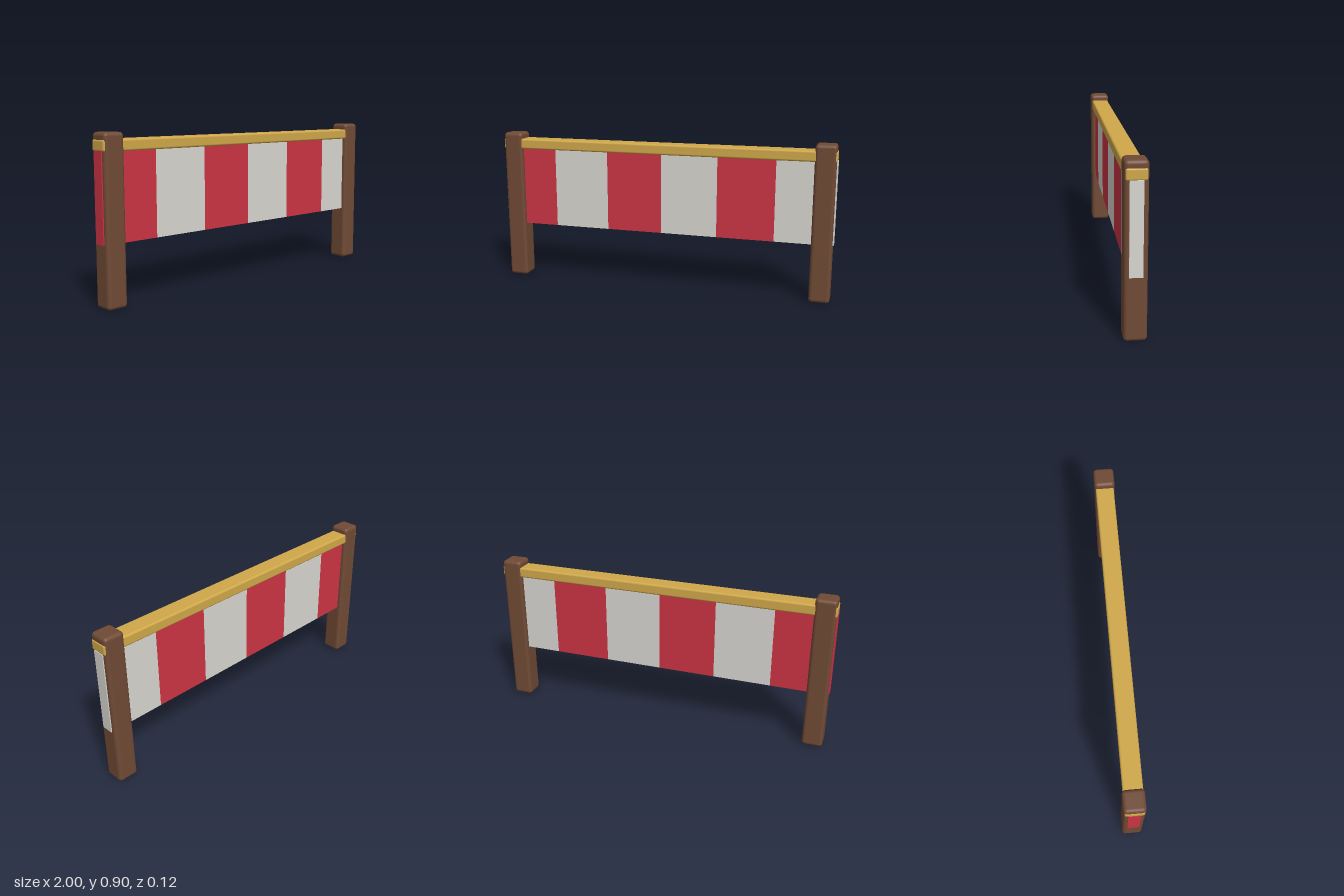
import * as THREE from 'three';
import { RoundedBoxGeometry } from 'three/addons/geometries/RoundedBoxGeometry.js';

function material(name, color) {
  const m = new THREE.MeshStandardMaterial({ color });
  m.name = name;
  return m;
}

export function createModel() {
  const wood = material('brown wood', 0x704a35);
  const gold = material('gold', 0xd0a84a);
  const red = material('red cloth', 0xcc3444);
  const white = material('off-white cloth', 0xd8d6d0);

  const model = new THREE.Group();
  model.name = 'stripedBarrier';

  function add(name, geometry, mat, x, y) {
    const mesh = new THREE.Mesh(geometry, mat);
    mesh.name = name;
    mesh.position.set(x, y, 0);
    model.add(mesh);
  }

  // Rounded posts at both ends
  const post = new RoundedBoxGeometry(0.118, 0.9, 0.117, 4, 0.02);
  add('leftPost', post, wood, 0.935, 0.45);
  add('rightPost', post, wood, -0.935, 0.45);

  // Top rail, running through the posts and just showing at their outer faces
  add('topRail', new RoundedBoxGeometry(1.996, 0.061, 0.105, 4, 0.011), gold, 0, 0.834);

  // Six alternating cloth stripes hanging below the rail
  const count = 6, width = 2 / count;
  const stripe = new THREE.BoxGeometry(width, 0.473, 0.067);
  for (let i = 0; i < count; i++) {
    add(`stripe${i + 1}`, stripe, i % 2 ? white : red, -1 + width * (i + 0.5), 0.5715);
  }

  return model;
}
